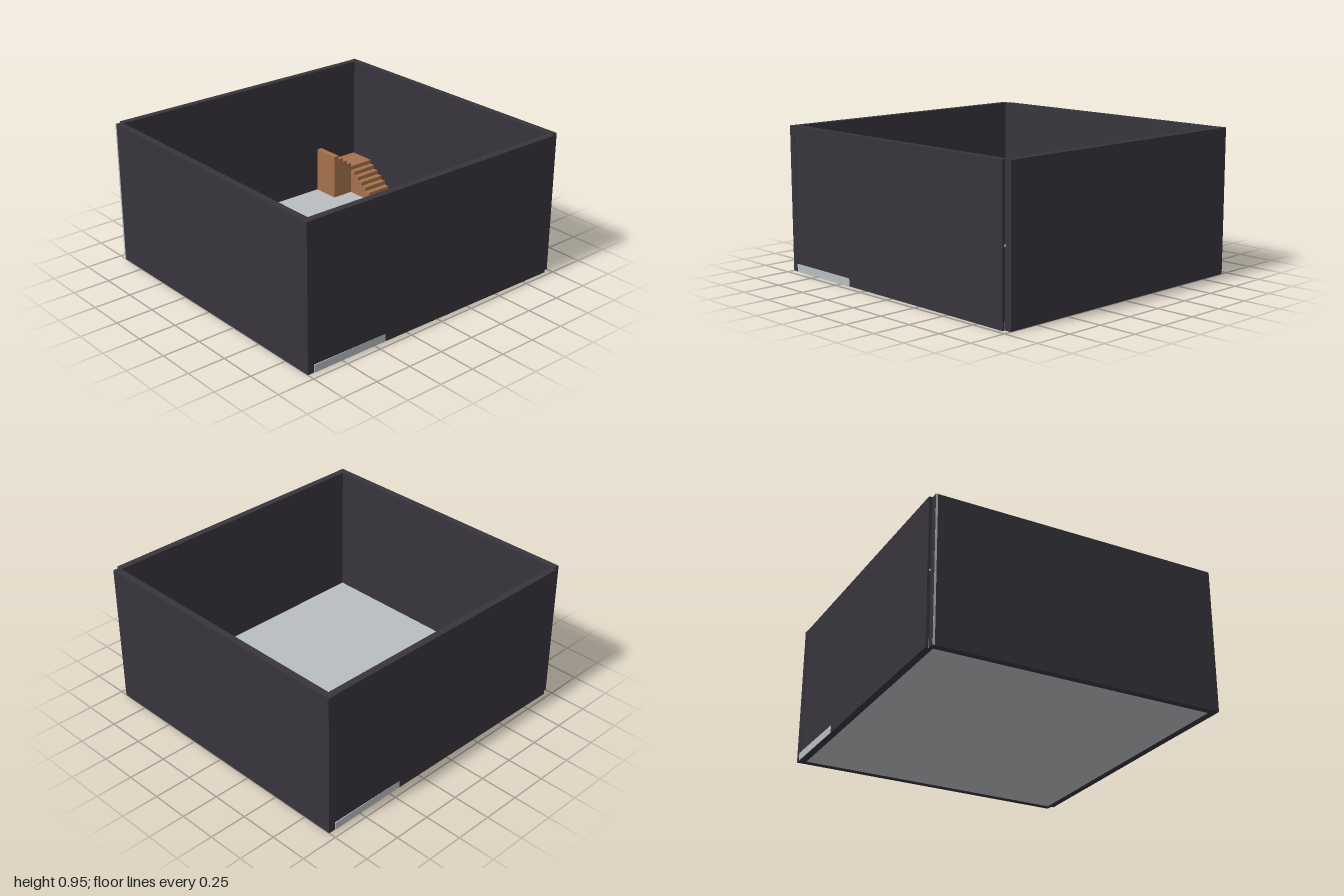
import * as THREE from 'three';

export function createModel() {
  const model = new THREE.Group();
  model.name = 'walledRoom';

  const material = (name, color) => {
    const m = new THREE.MeshStandardMaterial({ color });
    m.name = name;
    return m;
  };
  const charcoal = material('charcoal wall', 0x37353c);
  const paleGrey = material('pale grey floor', 0xb8bdc0);
  const wood = material('brown wood', 0xa5714c);

  const box = (name, mat, w, h, d, x, y, z, parent = model) => {
    const mesh = new THREE.Mesh(new THREE.BoxGeometry(w, h, d), mat);
    mesh.name = name;
    mesh.position.set(x, y, z);
    parent.add(mesh);
    return mesh;
  };

  const H = 0.948, T = 0.045;

  // Floor slab, just reaching past the tilted side walls
  box('floor', paleGrey, 1.908, 0.05, 1.91, 0, 0.0255, 0);

  // Front and back walls stand square
  box('frontWall', charcoal, 1.9, H, T, 0, H / 2, 0.9775);
  box('backWall', charcoal, 1.9, H, T, 0, H / 2, -0.9775);

  // Side walls are both turned slightly the same way
  for (const [name, side] of [['leftWall', 1], ['rightWall', -1]]) {
    box(name, charcoal, T, H, 1.91, side * 0.9365, H / 2, 0).rotation.y = -0.012;
  }

  // Pale edge strip on the front wall and a small catch at each open corner
  box('frontEdgeStrip', paleGrey, 0.013, H, 0.002, -0.9435, H / 2, 1);
  box('cornerCatch', paleGrey, 0.01, 0.012, 0.006, 0.955, 0.475, -0.957);
  box('cornerCatch', paleGrey, 0.01, 0.012, 0.006, -0.955, 0.475, 0.957);

  // Corner staircase: six treads, a landing, then four more treads
  const stairs = new THREE.Group();
  stairs.name = 'staircase';
  model.add(stairs);
  const base = 0.05, rise = 0.0285, run = 0.039, width = 0.188;
  const x0 = -0.903, z0 = -0.953;
  const landingH = rise * 7;
  const block = (name, w, h, d, x, z) =>
    box(name, wood, w, h, d, x + w / 2, base + h / 2, z + d / 2, stairs);

  block('landing', width, landingH, width, x0, z0);
  for (let i = 0; i < 6; i++) {
    block('lowerStep', run, rise * (6 - i), width, x0 + width + i * run, z0);
  }
  for (let i = 0; i < 4; i++) {
    block('upperStep', width, landingH + rise * (i + 1), run, x0, z0 + width + i * run);
  }

  return model;
}
